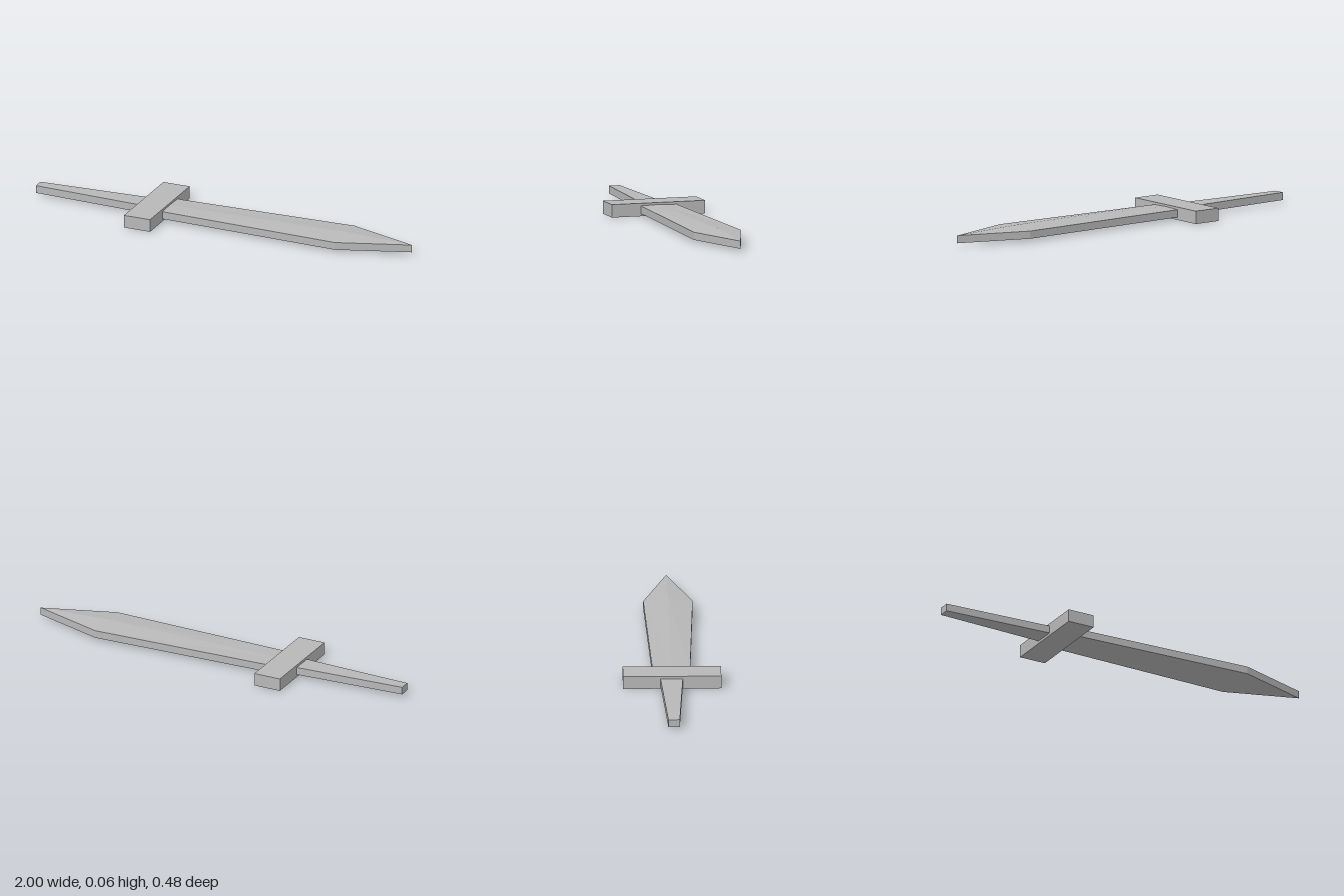
import * as THREE from 'three';

const MID_Y = 0.032; // height of the flat centre plane
const EDGE = 0.019;  // half thickness of the blade edge and the grip

// Skins six-point cross-sections along x. Station: [x, centreZ, halfWidth, halfHeight of ridge]
function loft(stations) {
  const rings = stations.map(([x, z, w, r]) => [
    [0, r], [w, EDGE], [w, -EDGE], [0, -r], [-w, -EDGE], [-w, EDGE],
  ].map(([dz, dy]) => [x, MID_Y + dy, z + dz]));
  const pos = [];
  const tri = (a, b, c) => pos.push(...a, ...b, ...c);
  for (let i = 0; i < rings.length - 1; i++) {
    for (let j = 0; j < 6; j++) {
      const k = (j + 1) % 6;
      const [a, b, c, d] = [rings[i][j], rings[i + 1][j], rings[i][k], rings[i + 1][k]];
      tri(a, c, b);
      tri(c, d, b);
    }
  }
  // End caps
  const first = rings[0], last = rings[rings.length - 1];
  for (let j = 1; j < 5; j++) {
    tri(first[0], first[j + 1], first[j]);
    tri(last[0], last[j], last[j + 1]);
  }
  const geometry = new THREE.BufferGeometry();
  geometry.setAttribute('position', new THREE.Float32BufferAttribute(pos, 3));
  geometry.computeVertexNormals();
  return geometry;
}

export function createModel() {
  const model = new THREE.Group();
  model.name = 'sword';
  const steel = new THREE.MeshStandardMaterial({ color: 0xb8b8b8 });
  steel.name = 'grey steel';

  const add = (name, geometry) => {
    const mesh = new THREE.Mesh(geometry, steel);
    mesh.name = name;
    model.add(mesh);
    return mesh;
  };

  // Ridged blade, widest before the point
  add('blade', loft([
    [-0.3, -0.002, 0.092, 0.022],
    [0.64, 0.001, 0.121, 0.032],
    [1, 0, 0, EDGE],
  ]));

  // Flat grip, tapering to the end
  add('grip', loft([
    [-1, -0.003, 0.028, EDGE],
    [-0.43, -0.003, 0.055, EDGE],
  ]));

  // Cross guard
  add('guard', new THREE.BoxGeometry(0.14, 0.064, 0.48)).position.set(-0.365, MID_Y, 0);

  return model;
}
